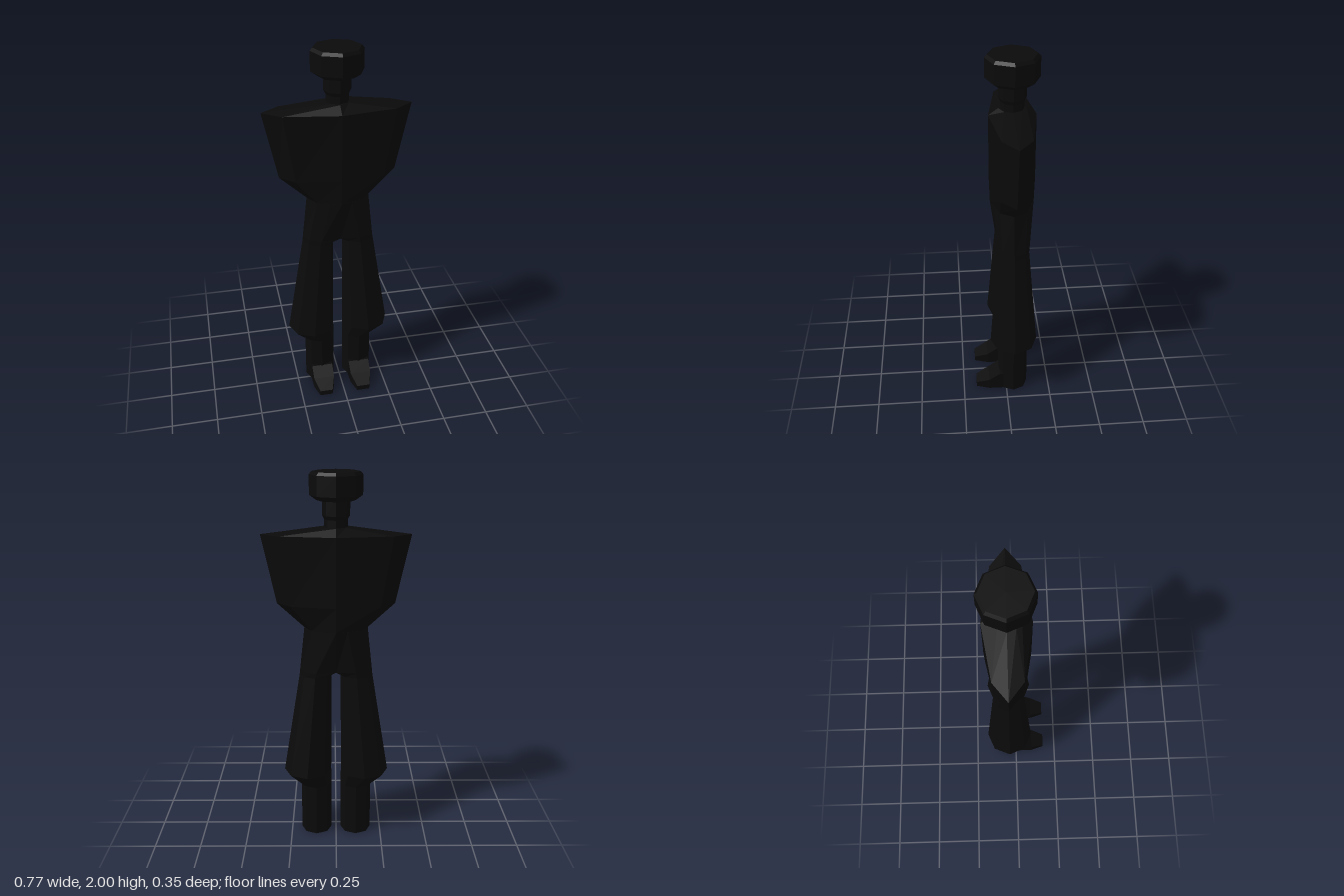
import * as THREE from 'three';

const material = new THREE.MeshStandardMaterial({ color: 0x0a0a0a, flatShading: true });
const CZ = -0.04; // depth of the body axis

// Skin a list of equal-length rings, closing both ends with fans
function loft(name, rings) {
  const pos = [];
  const tri = (...pts) => pts.forEach((p) => pos.push(...p));
  const centre = (r) => [0, 1, 2].map((k) => r.reduce((s, p) => s + p[k], 0) / r.length);
  const n = rings[0].length;
  const first = rings[0], last = rings[rings.length - 1];
  for (let j = 0; j < n; j++) {
    const k = (j + 1) % n;
    for (let i = 0; i < rings.length - 1; i++) {
      const lo = rings[i], hi = rings[i + 1];
      tri(lo[j], hi[j], lo[k]);
      tri(lo[k], hi[j], hi[k]);
    }
    tri(centre(first), first[j], first[k]);
    tri(centre(last), last[k], last[j]);
  }
  const geo = new THREE.BufferGeometry();
  geo.setAttribute('position', new THREE.Float32BufferAttribute(pos, 3));
  geo.computeVertexNormals();
  const mesh = new THREE.Mesh(geo, material);
  mesh.name = name;
  return mesh;
}

// Horizontal octagon with corners on the axes; diagonal corners scaled by dx, dz
function octagon(y, cx, rx, rz = rx, dx = Math.SQRT1_2, dz = Math.SQRT1_2) {
  return [[1, 0], [dx, dz], [0, 1], [-dx, dz], [-1, 0], [-dx, -dz], [0, -1], [dx, -dz]]
    .map(([x, z]) => [cx + x * rx, y, CZ + z * rz]);
}

// Half-hip ring whose inner side lies on the centre plane
function hip(y, outer, diagX, diagZ, midX, midZ, innerZ) {
  return [[outer, 0], [diagX, diagZ], [midX, midZ], [0, innerZ], [0, 0],
    [0, -innerZ], [midX, -midZ], [diagX, -diagZ]].map(([x, z]) => [x, y, CZ + z]);
}

const mirror = (rings) => rings.map((r) => r.map(([x, y, z]) => [-x, y, z]).reverse());

export function createModel() {
  const group = new THREE.Group();

  // Head and neck
  group.add(loft('head', [[1.86, 0.1], [1.885, 0.135], [1.985, 0.135], [2, 0.122]]
    .map(([y, r]) => octagon(y, 0, r))));
  group.add(loft('neck', [[1.7, 0.06], [1.765, 0.06], [1.785, 0.071], [1.87, 0.071]]
    .map(([y, r]) => octagon(y, 0, r))));

  // Broad-shouldered torso
  group.add(loft('torso', [
    [1.2, 0.167, 0.116], [1.33, 0.308, 0.12], [1.69, 0.385, 0.12], [1.727, 0.065, 0.07],
  ].map(([y, rx, rz]) => octagon(y, 0, rx, rz, 0.75, 0.62))));

  // Flared trousers running up into the hips
  const trouser = [
    octagon(0.29, 0.11, 0.085),
    octagon(0.37, 0.157, 0.13),
    octagon(0.94, 0.11, 0.085),
    hip(0.97, 0.192, 0.166, 0.062, 0.105, 0.088, 0.075),
    hip(1.2, 0.167, 0.125, 0.072, 0.06, 0.097, 0.116),
  ];
  const boot = [octagon(0, 0.11, 0.084), octagon(0.3, 0.11, 0.084)];

  // Tapered toe: sections from the ankle forward [z, half width, height]
  const toe = [[0, 0.06, 0.11], [0.04, 0.06, 0.11], [0.1, 0.059, 0.065], [0.175, 0.036, 0.03]]
    .map(([z, w, h]) => [[0.11 + w, h, z], [0.11 + w, 0, z], [0.11 - w, 0, z], [0.11 - w, h, z]]);

  for (const [part, rings] of Object.entries({ Trouser: trouser, Boot: boot, Toe: toe })) {
    group.add(loft('left' + part, rings), loft('right' + part, mirror(rings)));
  }
  return group;
}
